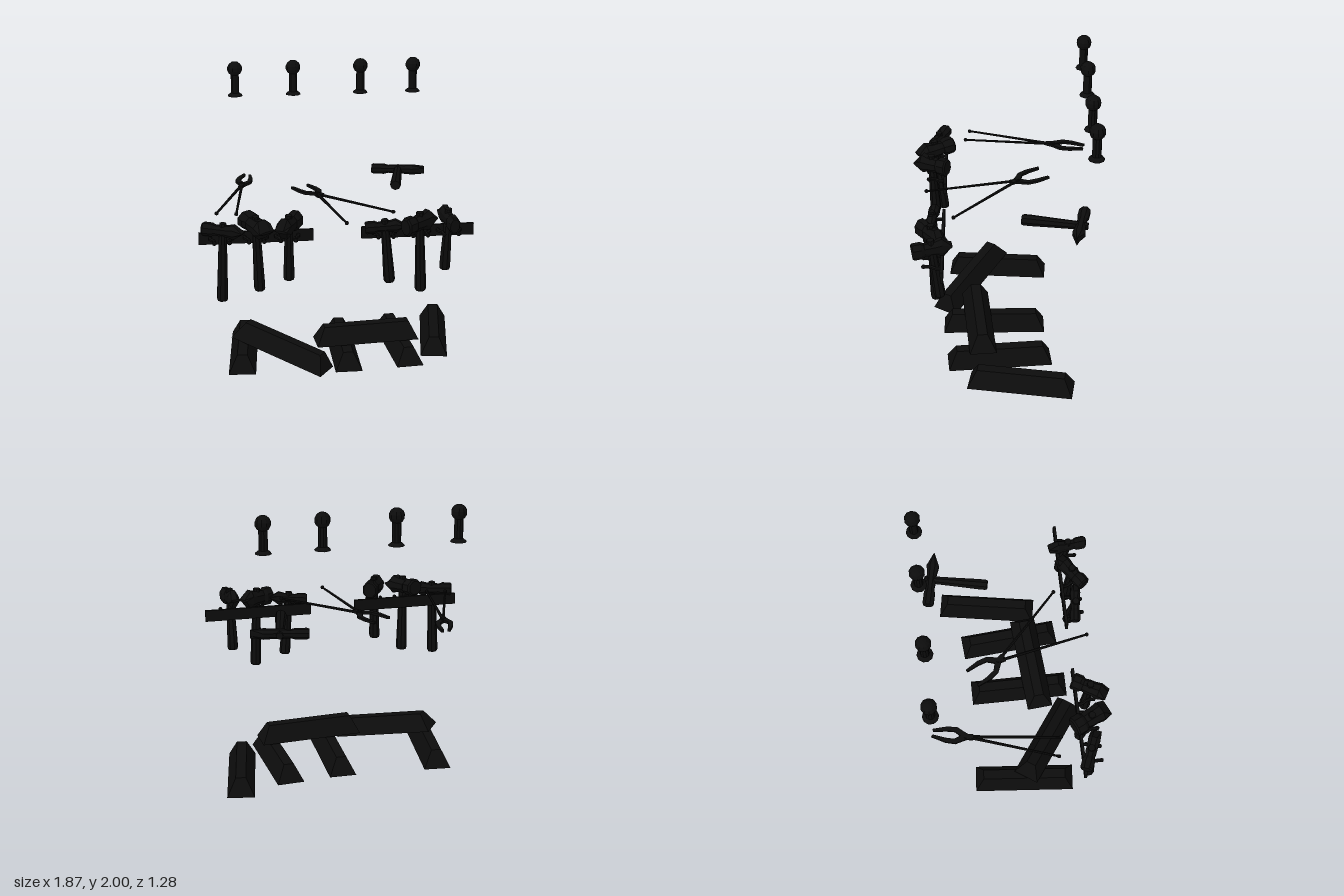
import * as THREE from 'three';

const iron = new THREE.MeshStandardMaterial({ color: 0x0c0c0c, flatShading: true });
const V = (x, y, z) => new THREE.Vector3(x, y, z);

function add(parent, geometry, name, x = 0, y = 0, z = 0) {
  const mesh = new THREE.Mesh(geometry, iron);
  mesh.name = name;
  mesh.position.set(x, y, z);
  parent.add(mesh);
  return mesh;
}

// Tapered bar: every top corner of a box is drawn inwards
function ingotGeometry() {
  const g = new THREE.BoxGeometry(0.19, 0.122, 0.73).translate(0, 0.061, 0);
  const p = g.attributes.position;
  for (let i = 0; i < p.count; i++) {
    if (p.getY(i) > 0.06) {
      p.setX(i, Math.sign(p.getX(i)) * 0.035);
      p.setZ(i, Math.sign(p.getZ(i)) * 0.305);
    }
  }
  g.computeVertexNormals();
  return g;
}

// Hammer head along x: octagonal face, narrow neck, shoulder, wedge peen.
// Each section is [position, half height, half thickness].
const headSections = [
  [-0.5, 0.8, 0.8], [-0.46, 0.97, 0.97], [-0.26, 0.97, 0.97], [-0.18, 0.75, 0.75],
  [-0.06, 0.85, 0.85], [0.1, 0.85, 0.85], [0.27, 1.1, 0.95], [0.5, 0.12, 0.8],
];
function headGeometry(length, height, thick) {
  const n = headSections.length - 1;
  const g = new THREE.CylinderGeometry(1, 1, 1, 8, n).rotateY(Math.PI / 8).rotateZ(-Math.PI / 2);
  const p = g.attributes.position;
  for (let i = 0; i < p.count; i++) {
    const [t, h, w] = headSections[Math.round((p.getX(i) + 0.5) * n)];
    p.setXYZ(i, t * length, p.getY(i) * h * height / 2 * 1.08, p.getZ(i) * w * thick / 2 * 1.08);
  }
  g.computeVertexNormals();
  return g;
}

// Hammer from head centre, handle end and the direction of its peen
function hammer(parent, name, head, end, peen, length, height, thick) {
  const group = new THREE.Group();
  group.name = name;
  const up = head.clone().sub(end);
  const reach = up.length();
  up.normalize();
  const along = peen.clone().addScaledVector(up, -peen.dot(up)).normalize();
  const side = along.clone().cross(up);
  group.quaternion.setFromRotationMatrix(new THREE.Matrix4().makeBasis(along, up, side));
  group.position.copy(head);
  add(group, headGeometry(length, height, thick), 'hammerHead');
  const profile = [[0, -reach], [0.034, -reach], [0.039, -reach + 0.015], [0.039, -reach + 0.06],
    [0.034, -reach * 0.5], [0.028, 0], [0.024, height / 2 + 0.008], [0, height / 2 + 0.008]];
  add(group, new THREE.LatheGeometry(profile.map(([r, y]) => new THREE.Vector2(r, y)), 8), 'hammerHandle');
  parent.add(group);
}

// Tongs lying flat: two crossed arms pinned at the pivot
function tongs(parent, x, z, turn, opening) {
  const group = new THREE.Group();
  group.name = 'tongs';
  group.position.set(x, 1.14, z);
  group.rotation.y = turn;
  for (const s of [-1, 1]) {
    const arm = new THREE.Group();
    arm.name = 'tongsArm';
    arm.rotation.y = s * opening / 2;
    const rod = add(arm, new THREE.CylinderGeometry(0.011, 0.008, 0.62, 6), 'tongsHandle', 0, 0, 0.33);
    rod.rotation.x = -Math.PI / 2;
    add(arm, new THREE.IcosahedronGeometry(0.014, 1), 'handleKnob', 0, 0, 0.645);
    // bowed jaw, drawn in plan and given thickness
    const outline = [[0.014, 0.05], [-0.016, 0.05], [-0.024, 0], [-0.052, -0.07], [-0.042, -0.14],
      [-0.004, -0.235], [0.012, -0.225], [-0.01, -0.14], [-0.018, -0.08], [0.02, -0.01]];
    const shape = new THREE.Shape(outline.map(([u, v]) => new THREE.Vector2(s * u, -v)));
    const jaw = new THREE.ExtrudeGeometry(shape, { depth: 0.018, bevelEnabled: false });
    add(arm, jaw.translate(0, 0, -0.009).rotateX(-Math.PI / 2), 'tongsJaw', 0, s * 0.003, 0);
    group.add(arm);
  }
  add(group, new THREE.CylinderGeometry(0.016, 0.016, 0.034, 8), 'pivotPin');
  parent.add(group);
}

// Rack hook: a pair of prongs curving around a handle
function hook(parent, x) {
  for (const s of [-1, 1]) {
    const path = new THREE.CatmullRomCurve3([
      V(x + s * 0.075, 1.03, 0.41), V(x + s * 0.072, 1.03, 0.45),
      V(x + s * 0.052, 1.03, 0.48), V(x + s * 0.05, 1.03, 0.53)]);
    add(parent, new THREE.TubeGeometry(path, 8, 0.013, 6), 'hookProng');
    add(parent, new THREE.IcosahedronGeometry(0.015, 1), 'hookTip', x + s * 0.05, 1.03, 0.53);
  }
}

export function createModel() {
  const model = new THREE.Group();
  model.name = 'smithyTools';

  // Wall pegs with ball tops
  const pegProfile = [[0, 1.75], [0.055, 1.75], [0.05, 1.758], [0.03, 1.773], [0.03, 1.93], [0, 1.93]];
  for (const x of [-0.63, -0.21, 0.28, 0.665]) {
    const peg = new THREE.Group();
    peg.name = 'peg';
    peg.position.set(x, 0, -0.583);
    add(peg, new THREE.LatheGeometry(pegProfile.map(([r, y]) => new THREE.Vector2(r, y)), 10), 'pegShaft');
    add(peg, new THREE.SphereGeometry(0.054, 10, 7), 'pegBall', 0, 1.948, 0);
    model.add(peg);
  }

  // Ingots: x, y, z, turn, tilt
  const ingot = ingotGeometry();
  for (const [x, y, z, turn, tilt] of [
    [-0.635, 0, 0.03, -0.083, 0], [0.08, 0, 0.065, 0, 0], [0.49, 0, 0.03, 0.083, 0],
    [0.775, 0, -0.115, -0.167, 0], [0.23, 0.135, 0.175, 1.654, 0], [-0.375, 0.086, 0.235, 0.98, 0.21],
  ]) {
    add(model, ingot, 'ingot', x, y, z).rotation.set(tilt, turn, 0, 'YXZ');
  }

  // Rack rails and hooks
  for (const x of [-0.552, 0.545]) {
    add(model, new THREE.BoxGeometry(0.77, 0.082, 0.02), 'rackRail', x, 1.025, 0.41);
  }
  for (const x of [-0.785, -0.555, -0.345, 0.31, 0.545, 0.755]) hook(model, x);

  // Hanging hammers: head centre, handle end, peen direction, head length, height, thickness
  for (const [head, end, peen, length, height, thick] of [
    [[-0.775, 1.095, 0.465], [-0.79, 0.6, 0.468], [56, 0, 22], 0.29, 0.09, 0.09],
    [[-0.555, 1.13, 0.485], [-0.535, 0.65, 0.43], [20, 0, 40], 0.28, 0.12, 0.14],
    [[-0.34, 1.13, 0.505], [-0.34, 0.74, 0.485], [-24, 0, 44], 0.26, 0.13, 0.11],
    [[0.31, 1.09, 0.485], [0.35, 0.68, 0.45], [1, 0, 0.1], 0.27, 0.085, 0.075],
    [[0.545, 1.11, 0.485], [0.565, 0.61, 0.46], [45, 0, -32], 0.27, 0.13, 0.1],
    [[0.74, 1.13, 0.475], [0.735, 0.75, 0.43], [-9, 0, -54], 0.27, 0.12, 0.08],
  ]) {
    hammer(model, 'hangingHammer', V(...head), V(...end), V(...peen), length, height, thick);
  }

  // Loose hammer lying flat
  hammer(model, 'lyingHammer', V(0.555, 1.177, -0.51), V(0.475, 1.177, -0.12), V(0.39, 0, 0.08), 0.39, 0.08, 0.072);

  // Tongs, one pair nearly closed and one open
  tongs(model, -0.605, -0.375, -0.215, 0.21);
  tongs(model, -0.085, -0.1, 0.513, 0.62);

  return model;
}
